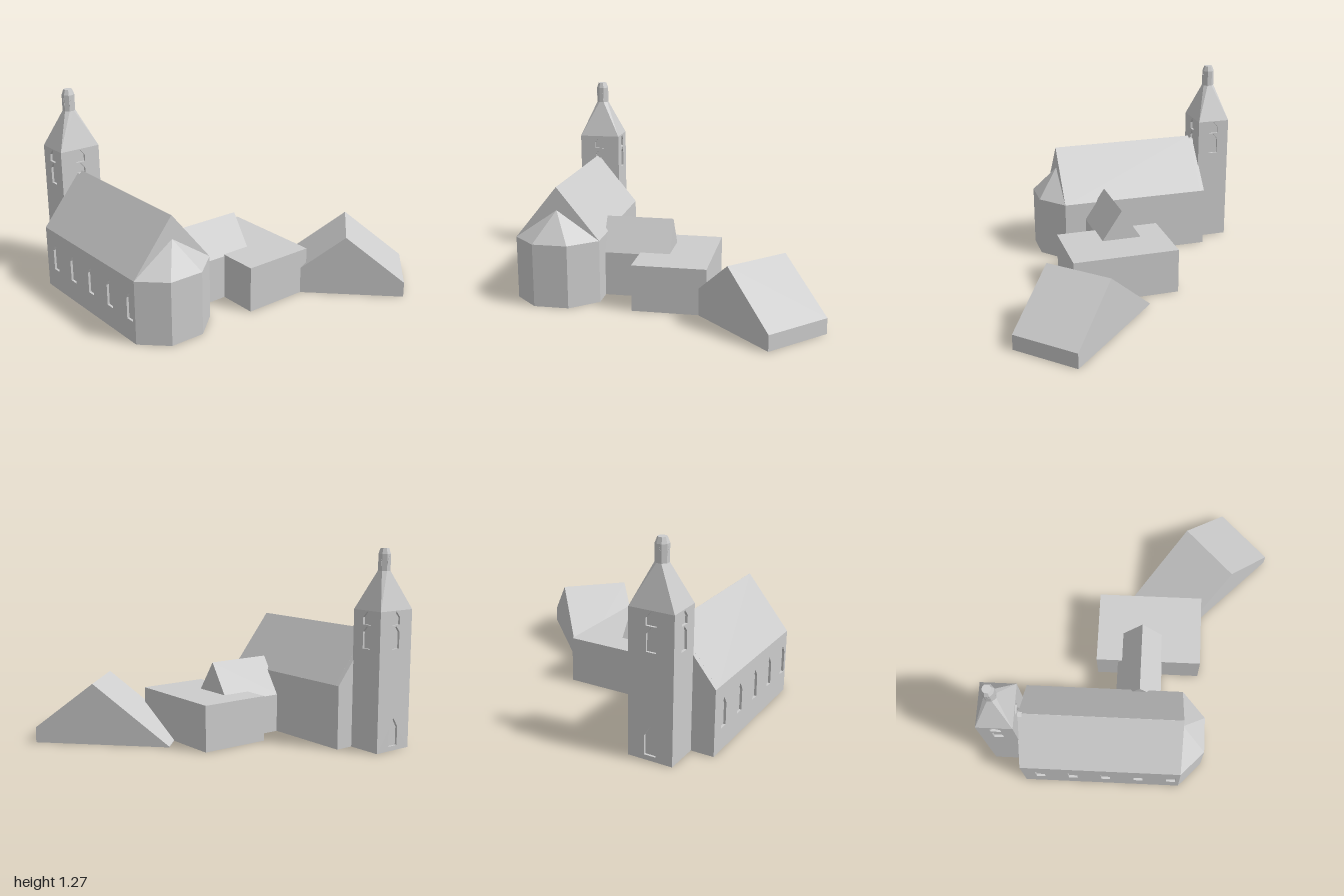
import * as THREE from 'three';
import { ConvexGeometry } from 'three/addons/geometries/ConvexGeometry.js';

export function createModel() {
  const model = new THREE.Group();
  model.name = 'church';
  const stone = new THREE.MeshStandardMaterial({ color: 0xcccccc });
  stone.name = 'light grey stone';

  const add = (name, geometry, parent = model) => {
    const mesh = new THREE.Mesh(geometry, stone);
    mesh.name = name;
    parent.add(mesh);
    return mesh;
  };
  const box = (name, x0, x1, y0, y1, z0, z1, parent) =>
    add(name, new THREE.BoxGeometry(x1 - x0, y1 - y0, z1 - z0), parent)
      .position.set((x0 + x1) / 2, (y0 + y1) / 2, (z0 + z1) / 2);
  const hull = (name, points, parent) =>
    add(name, new ConvexGeometry(points.map((p) => new THREE.Vector3(...p))), parent);

  // Pointed-arch outline: centre x, width, sill, shoulder and tip heights
  const arch = (cx, w, y0, y1, y2) => [
    [cx - w / 2, y0], [cx + w / 2, y0], [cx + w / 2, y1],
    [cx + w / 5, y1 + (y2 - y1) * 0.62], [cx, y2],
    [cx - w / 5, y1 + (y2 - y1) * 0.62], [cx - w / 2, y1],
  ].map((p) => new THREE.Vector2(...p));

  // Wall skin with openings, giving shallow window recesses
  const SKIN = 0.015;
  const wall = (x0, x1, h, openings) => {
    const shape = new THREE.Shape([[x0, 0], [x1, 0], [x1, h], [x0, h]]
      .map((p) => new THREE.Vector2(...p)));
    openings.forEach((o) => shape.holes.push(new THREE.Path(o)));
    return new THREE.ExtrudeGeometry(shape, { depth: SKIN, bevelEnabled: false });
  };

  // Nave walls with five front windows
  const EAVE = 0.41, RIDGE = 0.75, MID = 0.725, X0 = -0.7, X1 = 0.335;
  box('naveWalls', X0, X1, 0, EAVE, 0.45, 1 - SKIN);
  const windows = [-0.585, -0.369, -0.153, 0.063, 0.279]
    .map((x) => arch(x, 0.06, 0.14, 0.275, 0.325));
  add('naveWindowWall', wall(X0, X1, EAVE, windows)).position.z = 1 - SKIN;

  // Nave roof, with the ridge cut short beside the tower
  const roof = (name, x0, x1, top, half) => hull(name, [x0, x1].flatMap((x) => [
    [x, EAVE, 0.45], [x, EAVE, 1], [x, top, MID + half], [x, top, MID - half]]));
  roof('naveRoof', -0.67, X1, RIDGE, 0.0005);
  roof('naveRoofEnd', X0, -0.67, 0.73, 0.016);

  // Faceted apse
  const apsePlan = [[X1, 0.45], [0.483, 0.62], [0.483, 0.845], [X1, 1]];
  hull('apseWalls', apsePlan.flatMap(([x, z]) => [[x, 0, z], [x, EAVE, z]]));
  hull('apseRoof', [...apsePlan.map(([x, z]) => [x, EAVE, z]), [X1, 0.6, MID]]);

  // Tower, centred on its own axis
  const tower = new THREE.Group();
  tower.name = 'tower';
  tower.position.set(-0.809, 0, 0.715);
  model.add(tower);
  const HX = 0.113, HZ = 0.141, TOP = 0.89;
  box('towerCore', -HX + SKIN, HX - SKIN, 0, TOP, -HZ + SKIN, HZ - SKIN, tower);
  for (let i = 0; i < 4; i++) {
    const side = i % 2 === 1;
    const half = side ? HZ : HX - SKIN;
    const reach = side ? HX : HZ;
    const openings = [
      arch(0, 0.062, 0.65, 0.755, 0.793),
      arch(0, 0.066, 0.8, 0.845, 0.885),
    ];
    if (i === 3) openings.push(arch(0, 0.075, 0.03, 0.15, 0.21)); // west door
    const pivot = new THREE.Group();
    pivot.name = 'towerSide' + i;
    pivot.rotation.y = i * Math.PI / 2;
    tower.add(pivot);
    add('towerWall', wall(-half, half, TOP, openings), pivot).position.z = reach - SKIN;
    // Small lantern openings
    const pane = new THREE.ExtrudeGeometry(
      new THREE.Shape(arch(0, 0.026, 1.14, 1.19, 1.22)), { depth: 0.002, bevelEnabled: false });
    add('lanternOpening', pane, pivot).position.z = 0.037;
  }

  // Spire from square to octagon
  const octagon = (r, y) => Array.from({ length: 8 }, (_, i) => {
    const a = (i + 0.5) * Math.PI / 4;
    return [r * Math.cos(a), y, r * Math.sin(a)];
  });
  hull('spire', [
    [-HX, TOP, -HZ], [HX, TOP, -HZ], [HX, TOP, HZ], [-HX, TOP, HZ],
    ...octagon(0.041, 1.13)], tower);
  hull('lantern', [...octagon(0.041, 1.12), ...octagon(0.041, 1.235)], tower);
  hull('lanternCap', [...octagon(0.041, 1.235), ...octagon(0.028, 1.27)], tower);

  // Gabled passage from the nave to the hall
  hull('passage', [0.022, 0.467].flatMap((z) => [
    [-0.11, 0, z], [0.19, 0, z], [0.19, 0.29, z], [0.05, 0.5, z], [-0.11, 0.255, z]]));

  // Flat-roofed hall
  box('hall', -0.255, 0.45, 0, 0.3, -0.258, 0.217);

  // House set at an angle, its long roof slope reaching the ground
  const house = hull('house', [0, 0.45].flatMap((z) => [
    [0, 0, z], [0.885, 0, z], [0.885, 0.1, z], [0.5, 0.4, z], [0, 0.005, z]]));
  house.position.set(-0.02, 0, -0.375);
  house.rotation.y = Math.PI / 4;

  return model;
}
